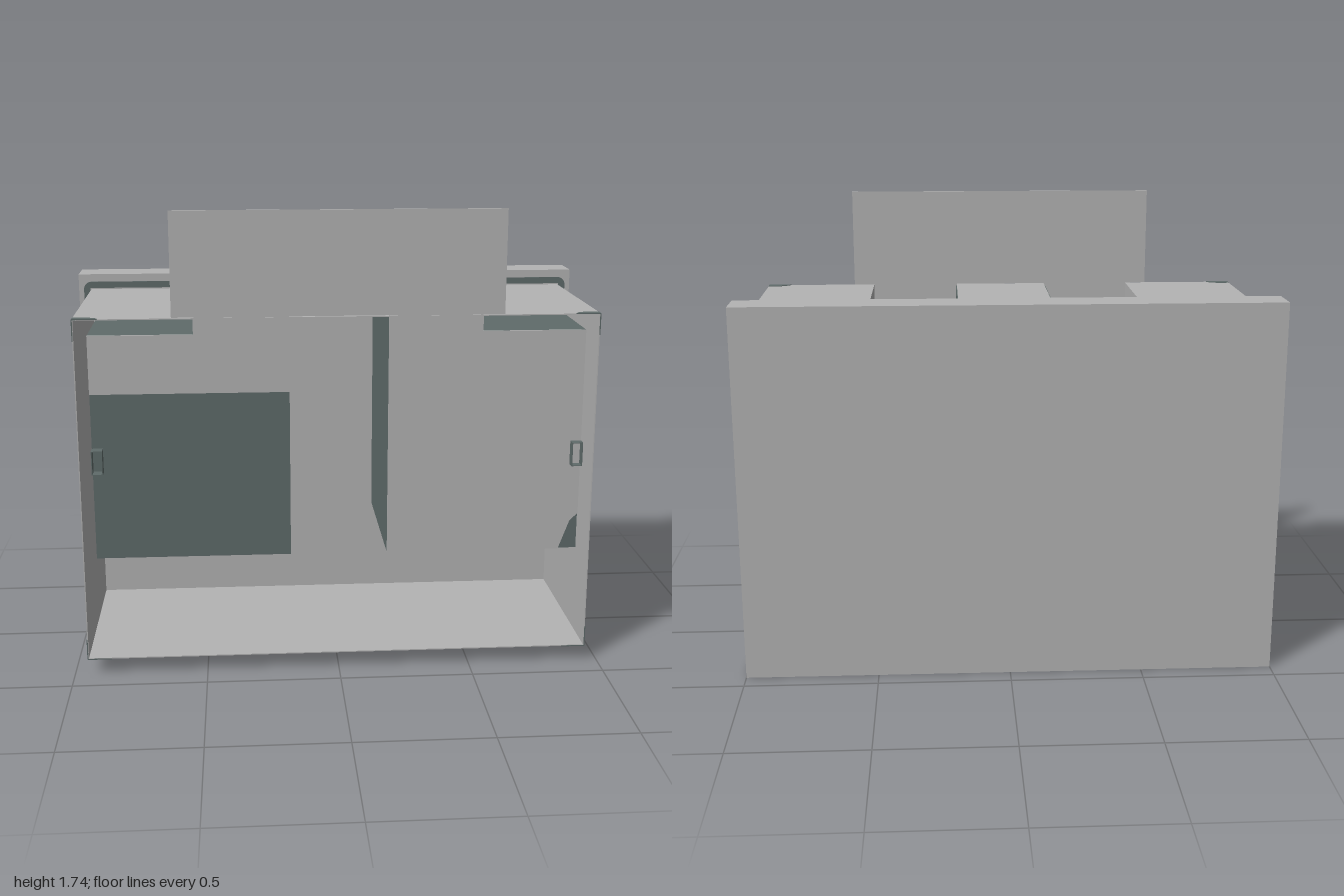
import * as THREE from 'three';

const grey = new THREE.MeshStandardMaterial({ color: 0xb4b4b4, side: THREE.DoubleSide });
grey.name = 'light grey';
const teal = new THREE.MeshStandardMaterial({ color: 0x5f6b6a, side: THREE.DoubleSide });
teal.name = 'dark teal';

const T = 0.004; // sheet thickness

function add(parent, name, geometry, material) {
  const mesh = new THREE.Mesh(geometry, material);
  mesh.name = name;
  parent.add(mesh);
  return mesh;
}

// Box given by its limits on each axis
function block(parent, name, material, [x0, x1], [y0, y1], [z0, z1]) {
  const mesh = add(parent, name, new THREE.BoxGeometry(Math.abs(x1 - x0), y1 - y0, z1 - z0), material);
  mesh.position.set((x0 + x1) / 2, (y0 + y1) / 2, (z0 + z1) / 2);
  return mesh;
}

function outline(points) {
  return new THREE.Shape(points.map(([x, y]) => new THREE.Vector2(x, y)));
}

function rect(x0, x1, y0, y1) {
  return outline([[x0, y0], [x1, y0], [x1, y1], [x0, y1]]);
}

function roundedRect(w, y0, y1, r) {
  const s = new THREE.Shape();
  s.absarc(w - r, y0 + r, r, -Math.PI / 2, 0);
  s.absarc(w - r, y1 - r, r, 0, Math.PI / 2);
  s.absarc(-w + r, y1 - r, r, Math.PI / 2, Math.PI);
  s.absarc(-w + r, y0 + r, r, Math.PI, Math.PI * 1.5);
  return s;
}

const plate = (shape, depth = T) => new THREE.ExtrudeGeometry(shape, { depth, bevelEnabled: false, curveSegments: 6 });

export function createModel() {
  const model = new THREE.Group();
  model.name = 'cabinet';

  // Back slab with a seal strip around the housing
  block(model, 'backSlab', grey, [-1, 1], [0, 1.42], [-0.43, -0.29]);
  const ring = roundedRect(0.98, 0.03, 1.39, 0.03);
  ring.holes.push(rect(-0.955, 0.955, 0.055, 1.365));
  add(model, 'seal', plate(ring), teal).position.z = -0.29;

  // Housing, open at the front
  const housing = new THREE.Group();
  housing.name = 'housing';
  model.add(housing);
  const depth = [-0.29, 0.4];
  block(housing, 'floor', grey, [-0.95, 0.95], [0.06, 0.06 + T], depth);
  for (const s of [-1, 1]) block(housing, 'sideWall', grey, [s * 0.95, s * (0.95 - T)], [0.06, 1.36], depth);

  // Roof with two openings
  const roof = rect(-0.95, 0.95, -0.4, 0.29);
  roof.holes.push(rect(-0.52, -0.18, -0.39, 0.21), rect(0.18, 0.52, -0.39, 0.21));
  const roofMesh = add(housing, 'roof', plate(roof), grey);
  roofMesh.rotation.x = -Math.PI / 2;
  roofMesh.position.y = 1.36 - T;

  // Corner patches on the side walls, roof and floor
  for (const s of [-1, 1]) {
    for (const top of [false, true]) {
      const y = top ? 1.36 : 0.06, d = top ? -1 : 1;
      const side = add(housing, 'cornerPatch', plate(outline([
        [-0.401, y], [-0.37, y], [-0.37, y + d * 0.04], [-0.395, y + d * 0.08], [-0.401, y + d * 0.08]])), teal);
      side.rotation.y = Math.PI / 2;
      side.position.x = s * 0.95 - T / 2;
      const flat = add(housing, 'cornerPatch', plate(outline([
        [s * 0.95, -0.401], [s * 0.95, -0.37], [s * 0.9, -0.37], [s * 0.87, -0.385], [s * 0.86, -0.401]])), teal);
      flat.rotation.x = -Math.PI / 2;
      flat.position.y = y - T / 2;
    }
  }

  // Two hollow bins hanging under the openings
  for (const s of [-1, 1]) {
    const bin = new THREE.Group();
    bin.name = s < 0 ? 'rightBin' : 'leftBin';
    model.add(bin);
    const z = [-0.21, 0.39];
    block(bin, 'innerWall', teal, [s * 0.18, s * (0.18 + T)], [0.46, 1.355], z);
    block(bin, 'outerWall', teal, [s * 0.9, s * (0.9 - T)], [0.46, 1.3], z);
    block(bin, 'backWall', teal, [s * 0.18, s * 0.9], [0.46, 1.3], [-0.21, -0.21 + T]);
    block(bin, 'frontWall', teal, [s * 0.18, s * 0.9], [0.46, s < 0 ? 1.085 : 0.6], [0.39 - T, 0.39]);
    block(bin, 'bottom', teal, [s * 0.18, s * 0.9], [0.46, 0.46 + T], z);
    block(bin, 'bottomLiner', grey, [s * 0.19, s * 0.89], [0.464, 0.47], [-0.17, 0.35]);
    block(bin, 'top', teal, [s * 0.52, s * 0.9], [1.3 - T, 1.3], z);
    // Chute between bin and roof
    block(bin, 'chuteSide', grey, [s * 0.52, s * (0.52 + T)], [1.3, 1.358], z);
    block(bin, 'chuteBack', grey, [s * 0.18, s * 0.52], [1.3, 1.358], [-0.21 - T, -0.21]);

    // Thin loop handle, open towards the front
    const loop = rect(-0.02, 0.02, -0.045, 0.045);
    loop.holes.push(rect(-0.017, 0.017, -0.042, 0.042));
    add(bin, 'handle', plate(loop, 0.04), teal).position.set(s * 0.88, 0.838, 0.391);
  }

  // Front panel: a raised bar with a leg down through each opening
  add(model, 'frontPanel', plate(outline([
    [-0.6, 1.74], [-0.6, 1.362], [-0.52, 1.362], [-0.52, 1.3], [-0.9, 1.3], [-0.9, 1.085],
    [-0.18, 1.085], [-0.18, 1.362], [0.18, 1.362], [0.18, 0.46], [0.83, 0.46], [0.87, 0.57],
    [0.9, 0.6], [0.9, 1.3], [0.52, 1.3], [0.52, 1.362], [0.6, 1.362], [0.6, 1.74]]), 0.008), grey)
    .position.z = 0.39;

  // Small tab behind one opening
  block(model, 'tab', grey, [0.16, 0.35], [1.36, 1.366], [-0.228, -0.222]);
  return model;
}
